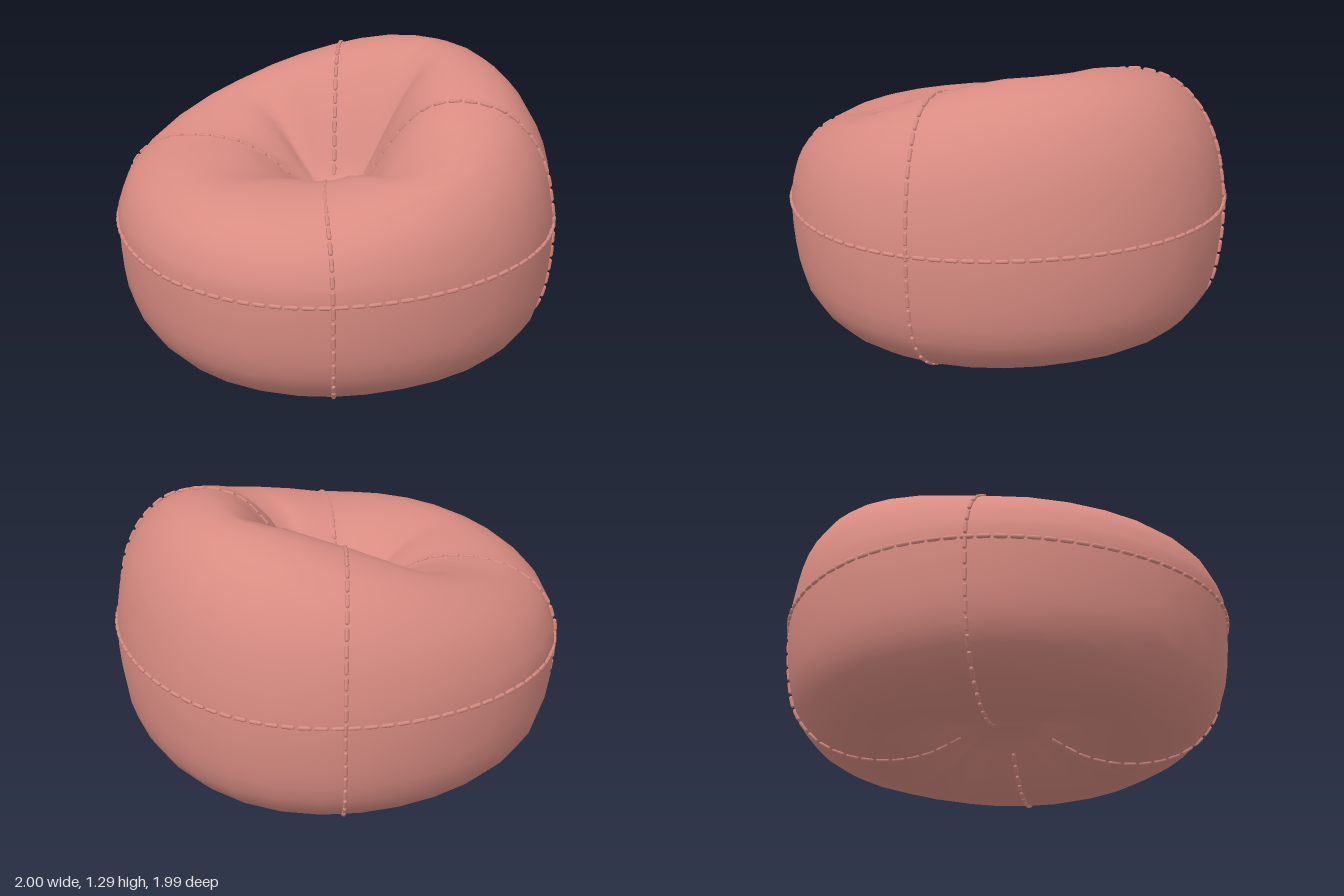
import * as THREE from 'three';
import { mergeGeometries } from 'three/addons/utils/BufferGeometryUtils.js';

const rad = THREE.MathUtils.degToRad;
const smooth = THREE.MathUtils.smoothstep;

// Cross-section from the underside pinch, round the side, to the seat hollow.
// Each point is (radius, a, b): its height is a + b * rim height.
const EQUATOR = 0.6, HOLLOW = 0.68;
const under = [[0, 0.17], [0.1, 0.163], [0.2, 0.12], [0.34, 0.045], [0.5, 0.01], [0.69, 0.028],
  [0.845, 0.105], [0.945, 0.235], [0.984, 0.41], [0.994, EQUATOR]];
const outer = [[0.98, 0.25], [0.942, 0.52], [0.86, 0.77], [0.74, 0.94], [0.58, 1]];
const inner = [[0.45, 0.95], [0.34, 0.77], [0.25, 0.52], [0.17, 0.23], [0.1, 0.04], [0, 0]];
const profile = new THREE.CatmullRomCurve3([
  ...under.map(([r, y]) => new THREE.Vector3(r, y, 0)),
  ...outer.map(([r, s]) => new THREE.Vector3(r, EQUATOR * (1 - s), s)),
  ...inner.map(([r, s]) => new THREE.Vector3(r, HOLLOW * (1 - s), s)),
]);
const V_EQUATOR = (under.length - 1) / (under.length + outer.length + inner.length - 1);

// Creases between the seams: [angle, depth on top, radius where it fades out on top]
const creases = [[-29, 0.12, 0.62], [62, 0.13, 0.84], [148, 0.06, 0.78], [238, 0.13, 0.68]];
// Seams: [name, angle, swing towards the middle of the seat, where it stops in the hollow]
const seams = [['leftSeam', 17, 15, 0.9], ['frontSeam', 94, 9, 0.88],
  ['rightSeam', 198, -13, 0.88], ['backSeam', -82, -5, 0.94]];

// The rim slopes up towards the back left
const rimHeight = (t) => Math.max(0.93, 1.07 + 0.188 * Math.cos(t) - 0.118 * Math.sin(t));

// Depth of the folds at an angle and radius
function foldDepth(t, r, top) {
  let sum = 0;
  for (const [angle, depth, reach] of creases) {
    const d = t - rad(angle);
    const gap = Math.abs(Math.atan2(Math.sin(d), Math.cos(d)));
    const end = top ? reach : 0.84;
    const fade = smooth(r, 0.06, 0.3) * (1 - smooth(r, end * 0.5, end));
    sum += (top ? depth : 0.07) * fade * Math.max(0, 1 - gap / rad(32)) ** 2;
  }
  return sum;
}

function surfacePoint(t, v) {
  const p = profile.getPoint(v);
  const top = v > V_EQUATOR;
  const r = Math.max(0, p.x);
  const fold = foldDepth(t, r, top);
  const y = p.y + p.z * rimHeight(t) + (top ? -fold : fold);
  // The four panels bulge slightly
  const bulge = r * (1 + 0.013 * Math.cos(4 * (t - rad(30))));
  return new THREE.Vector3(bulge * Math.cos(t), y, bulge * Math.sin(t));
}

// Closed cushion skin, with columns of vertices lying on each crease
function cushionGeometry(perSector = 8, rings = 40) {
  const angles = [];
  creases.forEach(([a], i) => {
    const next = i < 3 ? creases[i + 1][0] : creases[0][0] + 360;
    for (let k = 0; k < perSector; k++) angles.push(rad(a + (next - a) * k / perSector));
  });
  const n = angles.length, positions = [], index = [];
  for (let j = 0; j <= rings; j++) {
    for (const t of angles) positions.push(...surfacePoint(t, j / rings).toArray());
  }
  for (let j = 0; j < rings; j++) {
    for (let i = 0; i < n; i++) {
      const a = j * n + i, b = j * n + (i + 1) % n, c = a + n, d = b + n;
      if (j < rings - 1) index.push(a, c, d);
      else index.push(a, c, b);
      if (j > 0 && j < rings - 1) index.push(a, d, b);
    }
  }
  const geo = new THREE.BufferGeometry();
  geo.setAttribute('position', new THREE.Float32BufferAttribute(positions, 3));
  geo.setIndex(index);
  geo.computeVertexNormals();
  return geo;
}

// A row of short rounded stitches along a path
function stitchRow(points, closed = false) {
  const path = new THREE.CatmullRomCurve3(points, closed);
  const count = Math.round(path.getLength() / 0.068);
  const up = new THREE.Vector3(0, 1, 0);
  const parts = [];
  for (let i = 0; i < count; i++) {
    const u = (i + 0.5) / count;
    const turn = new THREE.Quaternion().setFromUnitVectors(up, path.getTangentAt(u));
    const stitch = new THREE.CapsuleGeometry(0.0095, 0.04, 2, 6);
    stitch.applyQuaternion(turn);
    stitch.translate(...path.getPointAt(u).toArray());
    parts.push(stitch);
  }
  return mergeGeometries(parts);
}

export function createModel() {
  const fabric = new THREE.MeshStandardMaterial({ color: 0xd98c82 });
  fabric.name = 'dusty pink fabric';
  const model = new THREE.Group();
  model.name = 'beanBag';
  const add = (name, geometry) => {
    const mesh = new THREE.Mesh(geometry, fabric);
    mesh.name = name;
    model.add(mesh);
  };

  add('cushion', cushionGeometry());

  // Four seams running from the underside, up the side and into the hollow
  for (const [name, angle, swing, stop] of seams) {
    const points = [];
    for (let k = 0; k <= 48; k++) {
      const v = THREE.MathUtils.lerp(0.1, stop, k / 48);
      const bend = v > V_EQUATOR ? swing * (1 - profile.getPoint(v).x) : 0;
      points.push(surfacePoint(rad(angle + bend), v));
    }
    add(name, stitchRow(points));
  }

  // Seam around the widest part
  const girdle = [];
  for (let k = 0; k < 48; k++) {
    const t = k / 48 * Math.PI * 2;
    const p = surfacePoint(t, V_EQUATOR);
    p.y += 0.01 + 0.12 * (rimHeight(t) - 1.065);
    girdle.push(p);
  }
  add('waistSeam', stitchRow(girdle, true));
  return model;
}
